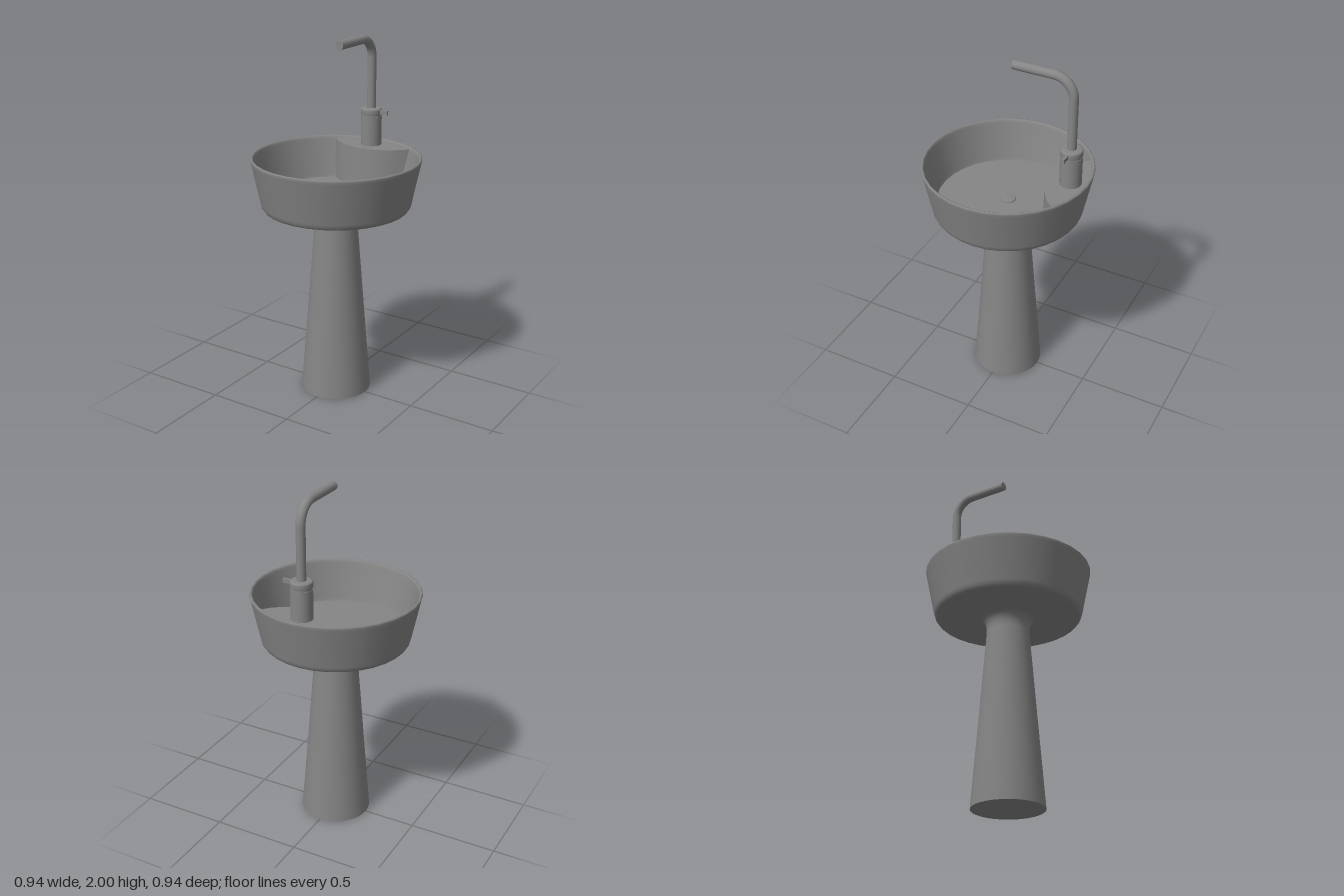
import * as THREE from 'three';

const SIDES = 32;
const FLOOR_Y = 1.145, LEDGE_Y = 1.366, TAP_Z = -0.367;
const GREY = 0x858585;
const material = new THREE.MeshStandardMaterial({ color: GREY });
const sheet = new THREE.MeshStandardMaterial({ color: GREY, side: THREE.DoubleSide });

function part(group, name, geometry, x = 0, y = 0, z = 0, mat = material) {
  const mesh = new THREE.Mesh(geometry, mat);
  mesh.name = name;
  mesh.position.set(x, y, z);
  group.add(mesh);
}

const lathe = (points) =>
  new THREE.LatheGeometry(points.map(([r, y]) => new THREE.Vector2(r, y)), SIDES);

const disc = (r, down = false) =>
  new THREE.CircleGeometry(r, SIDES).rotateX(down ? Math.PI / 2 : -Math.PI / 2);

// Curved front of the tap ledge: t is 0 at the floor, 1 at the top; u runs -1 to 1
function ledgeFront(u, t) {
  const radius = THREE.MathUtils.lerp(0.31, 0.3, t);
  const angle = u * THREE.MathUtils.lerp(0.745, 0.957, t);
  return [radius * Math.sin(angle), -0.55 + radius * Math.cos(angle)];
}

function ledgeWall() {
  const geometry = new THREE.PlaneGeometry(2, 1, 10, 4);
  const p = geometry.attributes.position;
  for (let i = 0; i < p.count; i++) {
    const t = p.getY(i) + 0.5;
    const [x, z] = ledgeFront(p.getX(i), t);
    p.setXYZ(i, x, THREE.MathUtils.lerp(FLOOR_Y, LEDGE_Y, t), z);
  }
  geometry.computeVertexNormals();
  return geometry;
}

function ledgeTop() {
  const shape = new THREE.Shape();
  for (let i = 0; i <= 10; i++) {
    const [x, z] = ledgeFront(i / 5 - 1, 1);
    if (i === 0) shape.moveTo(x, -z);
    else shape.lineTo(x, -z);
  }
  // Back edge follows the inside of the rim
  for (let i = 0; i <= 12; i++) {
    const a = 0.575 - (i / 12) * 1.15;
    shape.lineTo(0.452 * Math.sin(a), 0.452 * Math.cos(a));
  }
  return new THREE.ShapeGeometry(shape).rotateX(-Math.PI / 2);
}

export function createModel() {
  const model = new THREE.Group();
  model.name = 'pedestalBasin';

  // Tapered pedestal flaring smoothly into the bowl: underside, outer wall, rim, inner wall
  part(model, 'pedestalAndBowl', lathe([
    [0.198, 0], [0.196, 0.03], [0.158, 0.5], [0.119, 1.0], [0.12, 1.03],
    [0.126, 1.054], [0.138, 1.072], [0.154, 1.082], [0.175, 1.086], [0.2, 1.086],
    [0.36, 1.086], [0.384, 1.087], [0.401, 1.093], [0.411, 1.106],
    [0.416, 1.125], [0.464, 1.355], [0.468, 1.37], [0.465, 1.377], [0.459, 1.379],
    [0.453, 1.376], [0.449, 1.367], [0.446, 1.355], [0.396, 1.16], [0.39, FLOOR_Y],
  ]));
  part(model, 'pedestalBase', disc(0.198, true));
  part(model, 'bowlFloor', disc(0.392), 0, FLOOR_Y, 0);
  part(model, 'drain', lathe([[0.043, 0], [0.043, 0.006], [0.04, 0.009], [0, 0.01]]), 0, FLOOR_Y, 0);

  // Ledge carrying the tap
  part(model, 'ledgeWall', ledgeWall(), 0, 0, 0, sheet);
  part(model, 'ledgeTop', ledgeTop(), 0, LEDGE_Y, 0);

  // Tap
  const tap = new THREE.Group();
  tap.name = 'tap';
  tap.position.z = TAP_Z;
  model.add(tap);
  part(tap, 'tapBody', new THREE.CylinderGeometry(0.059, 0.059, 0.17, SIDES), 0, 1.447, 0);
  part(tap, 'tapGroove', new THREE.CylinderGeometry(0.056, 0.056, 0.01, SIDES), 0, 1.536, 0);
  part(tap, 'tapCap', lathe([
    [0.055, 1.539], [0.06, 1.541], [0.06, 1.568], [0.058, 1.574], [0.052, 1.577], [0.04, 1.578], [0, 1.578],
  ]));
  part(tap, 'tapLever', new THREE.BoxGeometry(0.06, 0.024, 0.013), 0.076, 1.557, 0);

  // Spout: rising pipe, quarter bend, horizontal run
  const bend = 0.11, top = 1.975, end = 0.337;
  const v = (y, z) => new THREE.Vector3(0, y, z);
  const path = new THREE.CurvePath();
  const k = bend * 0.4477;
  path.add(new THREE.LineCurve3(v(1.56, 0), v(top - bend, 0)));
  path.add(new THREE.CubicBezierCurve3(v(top - bend, 0), v(top - k, 0), v(top, k), v(top, bend)));
  path.add(new THREE.LineCurve3(v(top, bend), v(top, end)));
  part(tap, 'spout', new THREE.TubeGeometry(path, 60, 0.025, 20, false));
  part(tap, 'spoutEnd', new THREE.CircleGeometry(0.025, 20), 0, top, end);

  return model;
}
